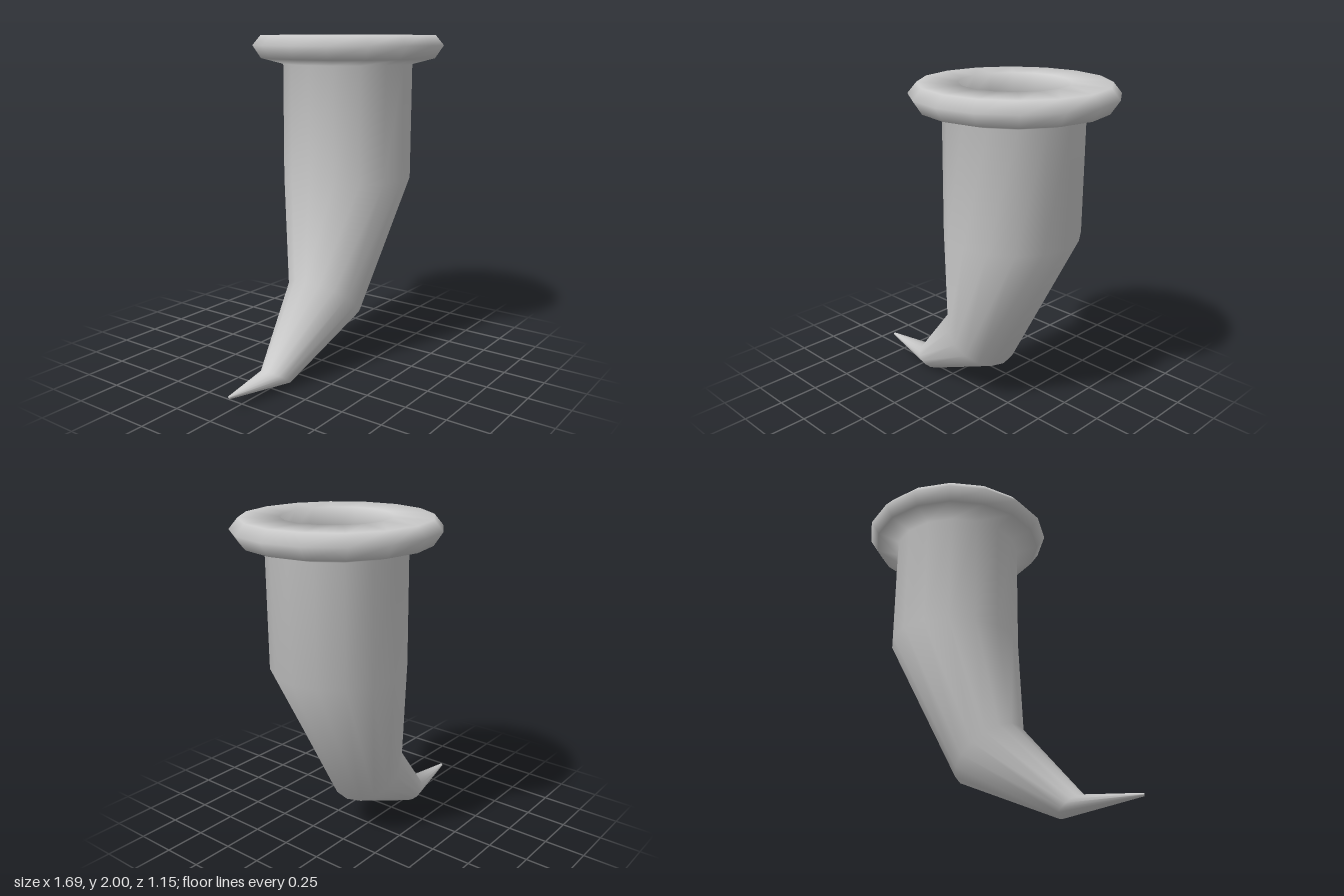
import * as THREE from 'three';

const SIDES = 16;
const AXIS = 0.265; // x of the upright upper tube

// A ring is described by its left and right ends in the xy plane: [xl, yl, xr, yr]
const level = (r, y) => [AXIS - r, y, AXIS + r, y];

// Pull both ends of a ring towards its centre
const shrink = ([a, b, c, d], k) => {
  const mx = (a + c) / 2, my = (b + d) / 2;
  return [mx + (a - mx) * k, my + (b - my) * k, mx + (c - mx) * k, my + (d - my) * k];
};

// Smooth skin over a list of rings
function loft(rings, material, name) {
  const pos = [], index = [];
  rings.forEach(([xl, yl, xr, yr]) => {
    const r = Math.hypot(xr - xl, yr - yl) / 2;
    for (let i = 0; i < SIDES; i++) {
      const t = (i / SIDES) * Math.PI * 2, c = Math.cos(t) / 2;
      pos.push((xl + xr) / 2 + (xr - xl) * c, (yl + yr) / 2 + (yr - yl) * c, r * Math.sin(t));
    }
  });
  for (let j = 0; j < rings.length - 1; j++) {
    for (let i = 0; i < SIDES; i++) {
      const n = (i + 1) % SIDES;
      const a = j * SIDES + i, b = a + SIDES, c = j * SIDES + n, d = c + SIDES;
      index.push(a, b, c, c, b, d);
    }
  }
  const g = new THREE.BufferGeometry();
  g.setAttribute('position', new THREE.Float32BufferAttribute(pos, 3));
  g.setIndex(index);
  g.computeVertexNormals();
  const mesh = new THREE.Mesh(g, material);
  mesh.name = name;
  return mesh;
}

export function createModel() {
  const group = new THREE.Group();
  group.name = 'horn';
  const material = new THREE.MeshStandardMaterial({ color: 0xcccccc, side: THREE.DoubleSide });

  // Bent, tapering tube from the pointed tip up to the neck
  const tip = [-0.85, 0.09, -0.848, 0.072];
  const tube = [
    [-0.53, 0.115, -0.38, 0.005],
    [-0.165, 0.56, 0.21, 0.27],
    level(0.392, 1.15),
    level(0.392, 1.83),
  ];
  // Flared collar that turns over into the mouth
  const rim = [
    level(0.525, 1.865),
    level(0.575, 1.94),
    level(0.525, 2),
    level(0.305, 2),
    level(0.375, 1.83),
  ];
  group.add(loft([shrink(tip, 0), tip, ...tube, ...rim], material, 'outerShellAndRim'));

  // Inner wall follows the tube down and closes near the tip
  const inner = tube.map((r) => shrink(r, 0.957)).reverse();
  group.add(loft([...inner, shrink(tip, 0)], material, 'innerWall'));

  return group;
}
